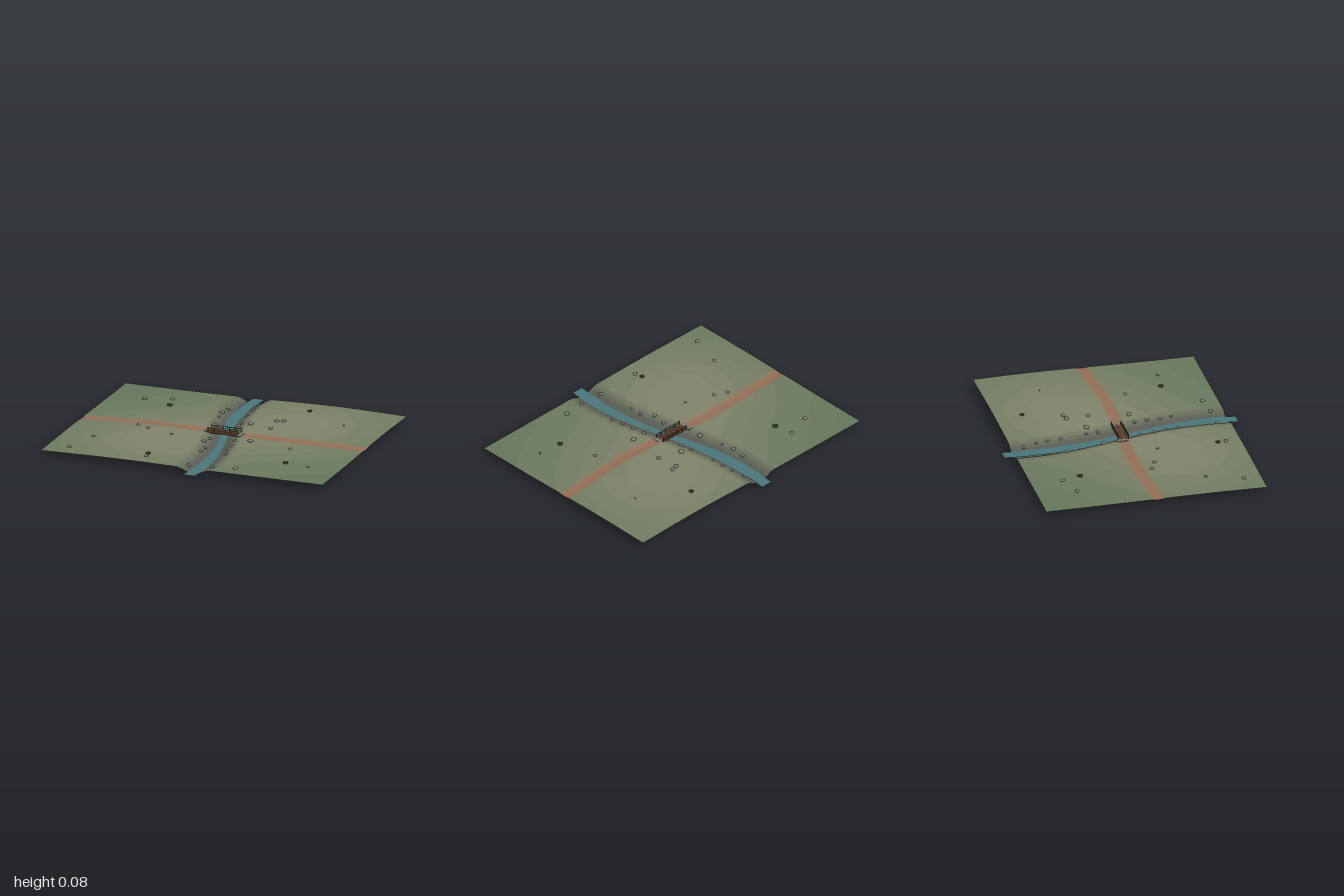
import * as THREE from 'three';

const mat = (color, extra = {}) => new THREE.MeshStandardMaterial({ color, ...extra });

// Courses of the stream (x for a given z) and of the footpath (z for a given x)
const streamX = z => 0.09 * Math.sin(z * Math.PI / 1.2);
const pathZ = x => 0.018 * Math.sin(x * Math.PI / 0.8);
const hill = (x, z, cx, cz, s) => Math.exp(-((x - cx) ** 2 + (z - cz) ** 2) / s);
const bump = (d, w) => (Math.abs(d) < w ? Math.cos(d / w * Math.PI / 2) ** 2 : 0);

// Rolling ground with a carved stream bed and a shallow worn path
function height(x, z) {
  const base = 0.045 + 0.007 * x + 0.02 * hill(x, z, -0.45, 0.3, 0.25) + 0.028 * hill(x, z, 0.5, -0.35, 0.3);
  const d = x - streamX(z);
  const worn = 0.005 * bump(z - pathZ(x), 0.06) * (1 - bump(d, 0.2));
  return base - (0.04 - 0.008 * z) * bump(d, 0.13) - worn;
}

// Ground grid bent along stream and path, split into colour zones that share vertices
function buildTerrain() {
  const group = new THREE.Group();
  group.name = 'terrain';
  const nx = 150, nz = 130, pos = [], zones = new Map();
  for (let j = 0; j <= nz; j++) {
    for (let i = 0; i <= nx; i++) {
      const s = 2 * i / nx - 1, t = 2 * j / nz - 1;
      const u = s * (0.45 + 0.55 * s * s);
      const v = 0.75 * t * (0.35 + 0.65 * t * t);
      const z = v + pathZ(u) * (1 - (v / 0.75) ** 2);
      const x = u + streamX(z) * (1 - u * u);
      pos.push(x, height(x, z), z);
    }
  }
  const steps = (k, n) => Math.round(THREE.MathUtils.clamp(k, 0, 1) * n) / n;
  for (let j = 0; j < nz; j++) {
    for (let i = 0; i < nx; i++) {
      const a = j * (nx + 1) + i, b = a + nx + 1;
      const x = (pos[3 * a] + pos[3 * b + 3]) / 2, z = (pos[3 * a + 2] + pos[3 * b + 5]) / 2;
      const d = Math.abs(x - streamX(z));
      const dry = steps(0.95 * hill(x, z, -0.4, 0.3, 0.3) + hill(x, z, 0.4, -0.3, 0.4), 5);
      const bank = steps((0.15 - d) / 0.09, 5);
      const path = steps((0.06 - Math.abs(z - pathZ(x))) / 0.045, 5) * (d < 0.12 ? 0 : 1);
      const key = [dry, bank, path].join();
      if (!zones.has(key)) zones.set(key, { dry, bank, path, index: [] });
      zones.get(key).index.push(a, b, a + 1, b, b + 1, a + 1);
    }
  }
  const all = new THREE.BufferGeometry();
  all.setAttribute('position', new THREE.Float32BufferAttribute(pos, 3));
  all.setIndex([...zones.values()].flatMap(zone => zone.index));
  all.computeVertexNormals();
  for (const { dry, bank, path, index } of zones.values()) {
    const geo = new THREE.BufferGeometry();
    geo.setAttribute('position', all.attributes.position);
    geo.setAttribute('normal', all.attributes.normal);
    geo.setIndex(index);
    const color = new THREE.Color(0x65755b).lerp(new THREE.Color(0x80836a), dry)
      .lerp(new THREE.Color(0x585b52), bank).lerp(new THREE.Color(0x936c55), path);
    const mesh = new THREE.Mesh(geo, mat(color, { side: THREE.DoubleSide }));
    mesh.name = path > 0 ? 'footpath' : bank > 0 ? 'streamBank' : 'meadow';
    group.add(mesh);
  }
  return group;
}

// Flat ribbon of water running past both ends of the ground
function buildWater() {
  const geo = new THREE.PlaneGeometry(0.085, 1.63, 1, 48).rotateX(-Math.PI / 2);
  const p = geo.attributes.position;
  for (let i = 0; i < p.count; i++) p.setXYZ(i, p.getX(i) + streamX(p.getZ(i)), 0.023, p.getZ(i));
  const mesh = new THREE.Mesh(geo, mat(0x4a757b, { side: THREE.DoubleSide }));
  mesh.name = 'water';
  return mesh;
}

// Plank footbridge with railings and stone abutments
function buildBridge() {
  const bridge = new THREE.Group();
  bridge.name = 'footbridge';
  const woods = [0x8a6344, 0x7a553a, 0x966f4e].map(c => mat(c));
  const dark = mat(0x4a3526), stone = mat(0x77776f);
  const box = (name, w, h, d, x, y, z, material) => {
    const mesh = new THREE.Mesh(new THREE.BoxGeometry(w, h, d), material);
    mesh.name = name;
    mesh.position.set(x, y, z);
    bridge.add(mesh);
    return mesh;
  };
  const planks = 18;
  for (let i = 0; i < planks; i++) {
    const x = -0.105 + 0.215 * i / (planks - 1);
    box('plank', 0.0095, 0.004, 0.066 + 0.003 * (i % 3), x, 0.057, 0, woods[(i * 2) % 3]);
  }
  for (const side of [-1, 1]) {
    box('beam', 0.23, 0.007, 0.007, 0.003, 0.0515, side * 0.022, dark);
    for (let i = 0; i < 6; i++) {
      box('railPost', 0.0035, 0.036, 0.0035, -0.1 + 0.042 * i, 0.07, side * 0.033, dark);
    }
    box('topRail', 0.222, 0.003, 0.003, 0.005, 0.085, side * 0.033, dark);
    box('lowerRail', 0.222, 0.0025, 0.0025, 0.005, 0.072, side * 0.033, dark);
    const z = side * 0.012;
    box('abutment', 0.026, 0.028, 0.076, side * 0.12, 0.045, z, stone);
    box('abutmentCap', 0.03, 0.006, 0.082, side * 0.12, 0.057, z, stone);
  }
  return bridge;
}

// Rocks as [x, z, radius]
const ROCKS = [
  [-0.02, -0.66, 0.014], [0, -0.57, 0.011], [0.01, -0.49, 0.014], [0.01, -0.4, 0.013],
  [-0.17, -0.49, 0.014], [-0.175, -0.4, 0.016], [-0.16, -0.31, 0.009], [0.04, -0.22, 0.012],
  [-0.12, -0.14, 0.018], [0.05, -0.14, 0.015], [-0.05, 0.13, 0.014], [0.13, 0.13, 0.013],
  [-0.055, 0.22, 0.016], [0.145, 0.22, 0.015], [-0.01, 0.31, 0.012], [0.15, 0.31, 0.013],
  [-0.01, 0.39, 0.013], [0.17, 0.39, 0.012], [0.015, 0.66, 0.016], [0.185, 0.66, 0.015],
];
const FIELD_ROCKS = [
  [-0.755, -0.48, 0.017], [-0.58, -0.535, 0.015], [0.255, -0.3, 0.016], [0.3, -0.31, 0.016],
  [0.11, -0.2, 0.02], [0.27, -0.15, 0.014], [-0.58, 0.07, 0.014], [-0.495, 0.11, 0.013],
  [-0.3, 0.18, 0.009], [0.235, 0.12, 0.02], [0.54, 0.17, 0.013], [-0.77, 0.39, 0.012],
  [-0.845, 0.63, 0.015], [-0.29, 0.645, 0.015], [0.34, 0.645, 0.016], [0.775, 0.45, 0.01],
];
const BUSHES = [[-0.55, -0.41, 1], [0.38, -0.57, 0.85], [0.61, 0.43, 0.95], [-0.3, 0.59, 0.85], [0.7, -0.37, 0.3]];

function buildRocks(name, list, color) {
  const group = new THREE.Group();
  group.name = name;
  const geo = new THREE.SphereGeometry(1, 10, 7), material = mat(color);
  list.forEach(([x, z, r], i) => {
    const rock = new THREE.Mesh(geo, material);
    rock.name = 'rock';
    rock.scale.set(r, r * 0.7, r * (0.75 + 0.15 * (i % 3)));
    rock.rotation.y = i * 2.4;
    rock.position.set(x, height(x, z) + r * 0.2, z);
    group.add(rock);
  });
  return group;
}

// Low bushes: a ring of small leafy clumps around a taller one
function buildBushes() {
  const group = new THREE.Group();
  group.name = 'bushes';
  const geo = new THREE.IcosahedronGeometry(1, 1), material = mat(0x4a5a38);
  for (const [x, z, s] of BUSHES) {
    const bush = new THREE.Group();
    bush.name = 'bush';
    for (let i = 0; i < 7; i++) {
      const clump = new THREE.Mesh(geo, material);
      clump.name = 'clump';
      const ring = i ? 0.013 : 0;
      clump.position.set(ring * Math.cos(i * 1.05), i ? 0.005 : 0.009, ring * Math.sin(i * 1.05));
      clump.scale.setScalar(i ? 0.006 + 0.0015 * (i % 2) : 0.009);
      bush.add(clump);
    }
    bush.scale.setScalar(s);
    bush.position.set(x, height(x, z), z);
    group.add(bush);
  }
  return group;
}

export function createModel() {
  const model = new THREE.Group();
  model.name = 'streamCrossing';
  model.add(
    buildTerrain(), buildWater(), buildBridge(),
    buildRocks('bankRocks', ROCKS, 0x74766e), buildRocks('fieldRocks', FIELD_ROCKS, 0x7c7e74), buildBushes(),
  );
  return model;
}
